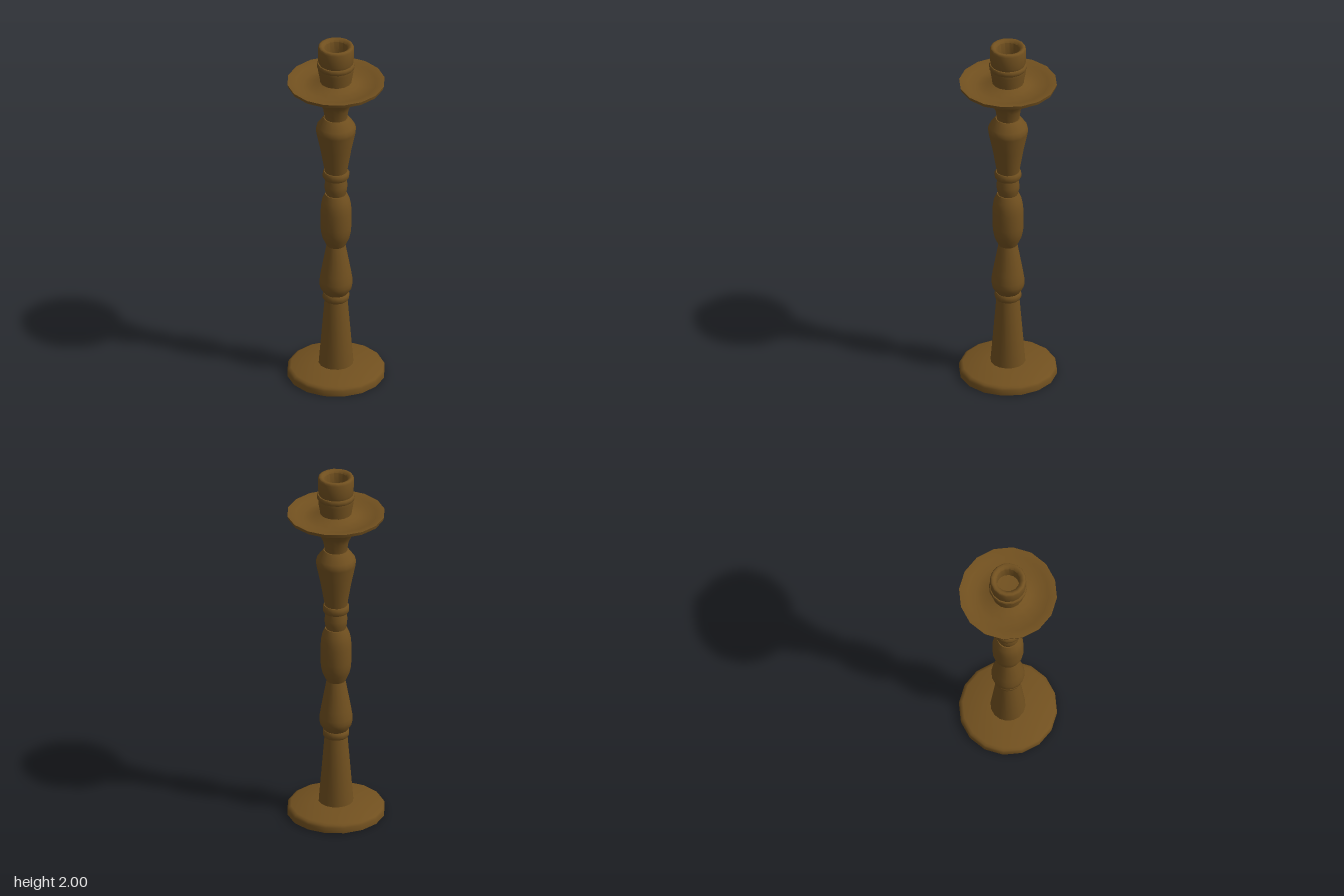
import * as THREE from 'three';
import { toCreasedNormals } from 'three/addons/utils/BufferGeometryUtils.js';

const SIDES = 16;

export function createModel() {
  const group = new THREE.Group();
  group.name = 'candlestick';
  const wood = new THREE.MeshStandardMaterial({ color: 0x71501f });

  // Turned part from a [radius, height] profile running upward on the outside
  function turned(name, profile) {
    const points = profile.map(([r, y]) => new THREE.Vector2(r, y));
    const geometry = toCreasedNormals(new THREE.LatheGeometry(points, SIDES), 0.8);
    const mesh = new THREE.Mesh(geometry, wood);
    mesh.name = name;
    group.add(mesh);
  }

  // Small rounded collar between two turnings
  function collar(name, y0, y1, r) {
    const b = (y1 - y0) * 0.25;
    turned(name, [[0.04, y0], [r - 0.006, y0], [r, y0 + b], [r, y1 - b], [r - 0.006, y1], [0.04, y1]]);
  }

  // Foot and lower column
  turned('base', [[0, 0], [0.26, 0], [0.26, 0.03], [0.254, 0.042], [0.24, 0.049], [0.09, 0.068], [0, 0.068]]);
  turned('lowerShaft', [[0.093, 0.066], [0.061, 0.456]]);
  collar('lowerCollar', 0.452, 0.492, 0.071);

  // Vase, barrel and neck
  turned('lowerVase', [[0.062, 0.49], [0.083, 0.522], [0.088, 0.545], [0.088, 0.57], [0.08, 0.62], [0.05, 0.784]]);
  turned('barrel', [[0.05, 0.782], [0.072, 0.83], [0.08, 0.866], [0.083, 0.9], [0.083, 0.99], [0.08, 1.025],
    [0.073, 1.06], [0.058, 1.095], [0, 1.095]]);
  turned('neck', [[0.052, 1.094], [0.06, 1.125], [0.061, 1.15], [0.055, 1.195]]);
  collar('upperCollar', 1.192, 1.235, 0.071);
  turned('upperVase', [[0.06, 1.234], [0.083, 1.37], [0.105, 1.475], [0.107, 1.492], [0.1, 1.515], [0.066, 1.562], [0, 1.562]]);

  // Drip pan: flared underside, thin rim, dished top rising to the socket
  turned('dripPan', [[0.06, 1.56], [0.068, 1.615], [0.085, 1.65], [0.115, 1.695], [0.15, 1.728], [0.19, 1.755],
    [0.255, 1.763], [0.26, 1.782], [0.25, 1.782], [0.215, 1.774], [0.17, 1.762], [0.12, 1.768], [0.08, 1.785]]);

  // Candle socket with bead, rounded lip and hollow bore
  turned('socket', [[0.084, 1.775], [0.086, 1.8], [0.095, 1.85], [0.095, 1.868]]);
  turned('socketBead', [[0.08, 1.866], [0.097, 1.867], [0.101, 1.875], [0.101, 1.888], [0.097, 1.895], [0.08, 1.896]]);
  turned('socketCup', [[0.091, 1.895], [0.095, 1.91], [0.096, 1.985], [0.092, 1.996], [0.084, 2], [0.074, 1.997],
    [0.062, 1.985], [0.06, 1.9], [0, 1.895]]);

  return group;
}
